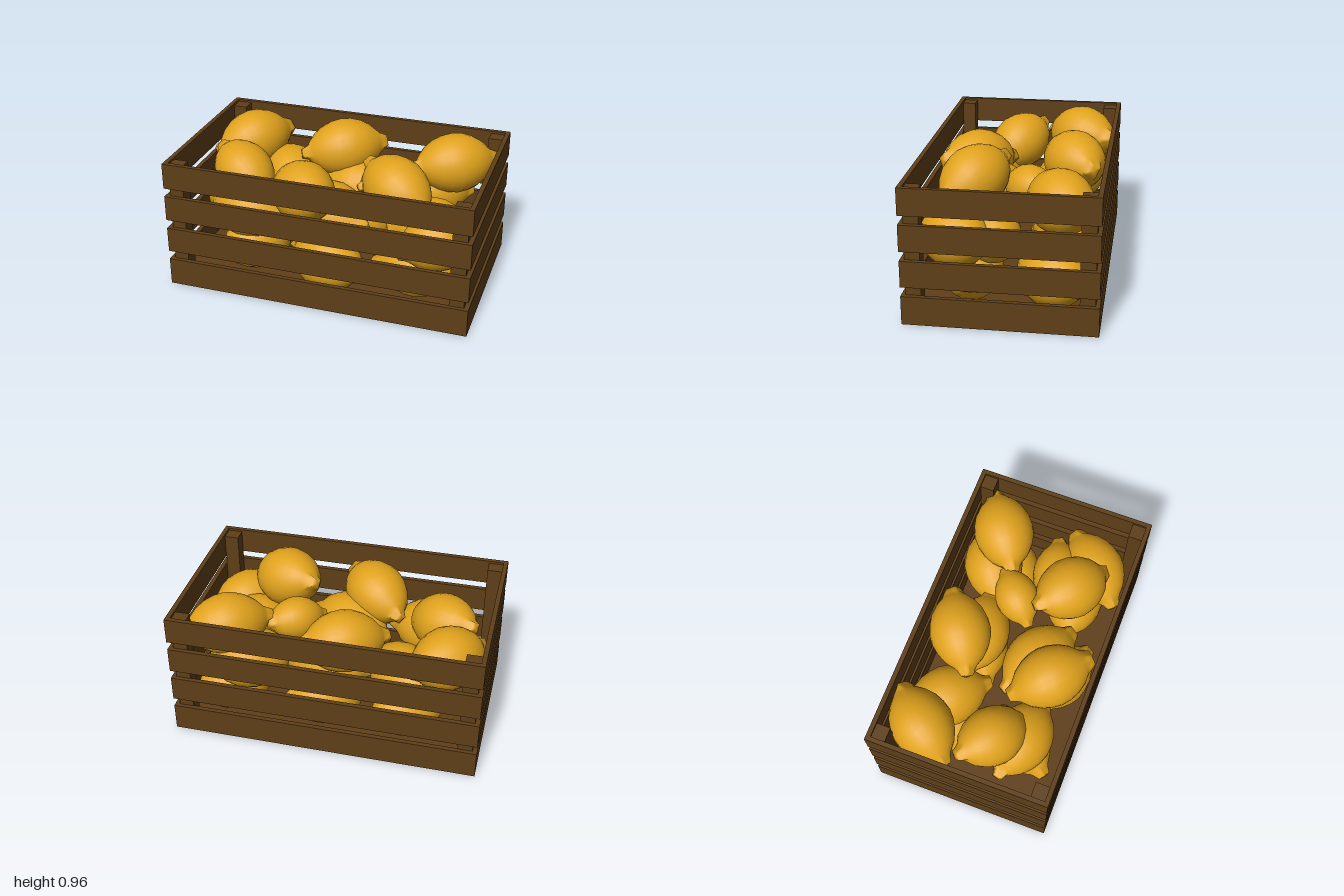
import * as THREE from 'three';
import { mergeVertices } from 'three/addons/utils/BufferGeometryUtils.js';

const wood = new THREE.MeshStandardMaterial({ color: 0x5f3f18 });
const peel = new THREE.MeshStandardMaterial({ color: 0xe0a21c });

function addBox(parent, name, size, pos) {
  const mesh = new THREE.Mesh(new THREE.BoxGeometry(...size), wood);
  mesh.name = name;
  mesh.position.set(...pos);
  parent.add(mesh);
}

// Lemon along the y axis: round body with blunt, squarish nubs at both ends
function lemonGeometry() {
  const profile = [
    [0, -0.3], [0.03, -0.298], [0.042, -0.26], [0.075, -0.235], [0.125, -0.19], [0.165, -0.13],
    [0.19, -0.065], [0.2, 0], [0.192, 0.065], [0.17, 0.13], [0.132, 0.19], [0.085, 0.235],
    [0.05, 0.265], [0.036, 0.298], [0, 0.3],
  ].map(([r, y]) => new THREE.Vector2(r, y));
  const geo = new THREE.LatheGeometry(profile, 24);
  const p = geo.attributes.position;
  for (let i = 0; i < p.count; i++) {
    if (Math.abs(p.getY(i)) < 0.25) continue;
    const x = p.getX(i), z = p.getZ(i);
    const m = Math.max(Math.abs(x), Math.abs(z));
    const k = m > 1e-6 ? Math.hypot(x, z) / m : 1;
    p.setX(i, x * k);
    p.setZ(i, z * k);
  }
  geo.deleteAttribute('normal');
  geo.deleteAttribute('uv');
  const merged = mergeVertices(geo, 1e-4);
  merged.computeVertexNormals();
  return merged;
}

// Each lemon: tail x, y, z, tip x, y, z, scale
const LEMONS = [
  // bottom layer
  [-0.67, 0.23, 0.46, -0.36, 0.23, 0.03, 0.95],
  [-0.28, 0.22, 0.2, 0.29, 0.22, 0.46, 1],
  [0.31, 0.22, 0.27, 0.87, 0.22, 0.2, 1],
  [-0.7, 0.22, -0.08, -0.32, 0.24, -0.46, 1],
  [-0.2, 0.22, -0.12, 0.28, 0.22, -0.42, 1],
  [0.47, 0.22, -0.08, 0.86, 0.24, -0.47, 1],
  // middle layer
  [-0.84, 0.48, 0.21, -0.28, 0.48, 0.32, 1],
  [-0.29, 0.49, 0.04, 0.26, 0.48, 0.32, 1.06],
  [0.54, 0.46, 0.52, 0.94, 0.52, 0.11, 1],
  [-0.27, 0.48, -0.07, -0.64, 0.5, -0.5, 1],
  [-0.24, 0.46, -0.24, 0.3, 0.5, -0.27, 1],
  [0.29, 0.5, -0.23, 0.76, 0.48, -0.46, 1],
  [0.38, 0.45, 0.18, 0.86, 0.48, 0.02, 0.9],
  // top layer
  [-0.93, 0.68, -0.11, -0.57, 0.72, -0.55, 1],
  [-0.34, 0.7, -0.19, 0.16, 0.74, -0.48, 1],
  [0.45, 0.72, -0.18, 0.91, 0.72, -0.47, 1],
  [-0.86, 0.75, -0.04, -0.45, 0.57, 0.24, 0.95],
  [-0.35, 0.64, 0.11, 0.03, 0.72, 0.51, 1],
  [0.21, 0.84, 0.08, 0.66, 0.68, 0.39, 1],
  [0.14, 0.63, 0.05, 0.44, 0.69, -0.22, 0.72],
];

export function createModel() {
  const model = new THREE.Group();

  // Crate
  const crate = new THREE.Group();
  crate.name = 'crate';
  model.add(crate);
  const W = 1, D = 0.595, T = 0.03;
  addBox(crate, 'floor', [2 * W - 0.02, 0.04, 2 * D - 0.02], [0, 0.02, 0]);

  // Four bands of boards: tall base board, then three slats
  const bands = [[0, 0.185], [0.245, 0.415], [0.475, 0.645], [0.703, 0.875]];
  bands.forEach(([y0, y1], i) => {
    const h = y1 - y0, y = (y0 + y1) / 2;
    const kind = i === 0 ? 'BaseBoard' : 'Slat' + i;
    for (const s of [-1, 1]) {
      addBox(crate, (s > 0 ? 'front' : 'back') + kind, [2 * W, h, T], [0, y, s * (D - T / 2)]);
      addBox(crate, (s > 0 ? 'left' : 'right') + kind, [T, h, 2 * (D - T)], [s * (W - T / 2), y, 0]);
    }
  });

  // Corner posts inside the boards
  for (const sx of [-1, 1]) {
    for (const sz of [-1, 1]) {
      addBox(crate, 'cornerPost', [0.095, 0.83, 0.095], [sx * 0.922, 0.445, sz * 0.522]);
    }
  }

  // Lemons, each turned to run from tail to tip
  const lemons = new THREE.Group();
  lemons.name = 'lemons';
  model.add(lemons);
  const geo = lemonGeometry();
  const up = new THREE.Vector3(0, 1, 0);
  for (const [ax, ay, az, bx, by, bz, scale] of LEMONS) {
    const tail = new THREE.Vector3(ax, ay, az), tip = new THREE.Vector3(bx, by, bz);
    const lemon = new THREE.Mesh(geo, peel);
    lemon.name = 'lemon';
    lemon.position.copy(tail).add(tip).multiplyScalar(0.5);
    lemon.quaternion.setFromUnitVectors(up, tip.sub(tail).normalize());
    lemon.scale.setScalar(scale);
    lemons.add(lemon);
  }

  return model;
}
